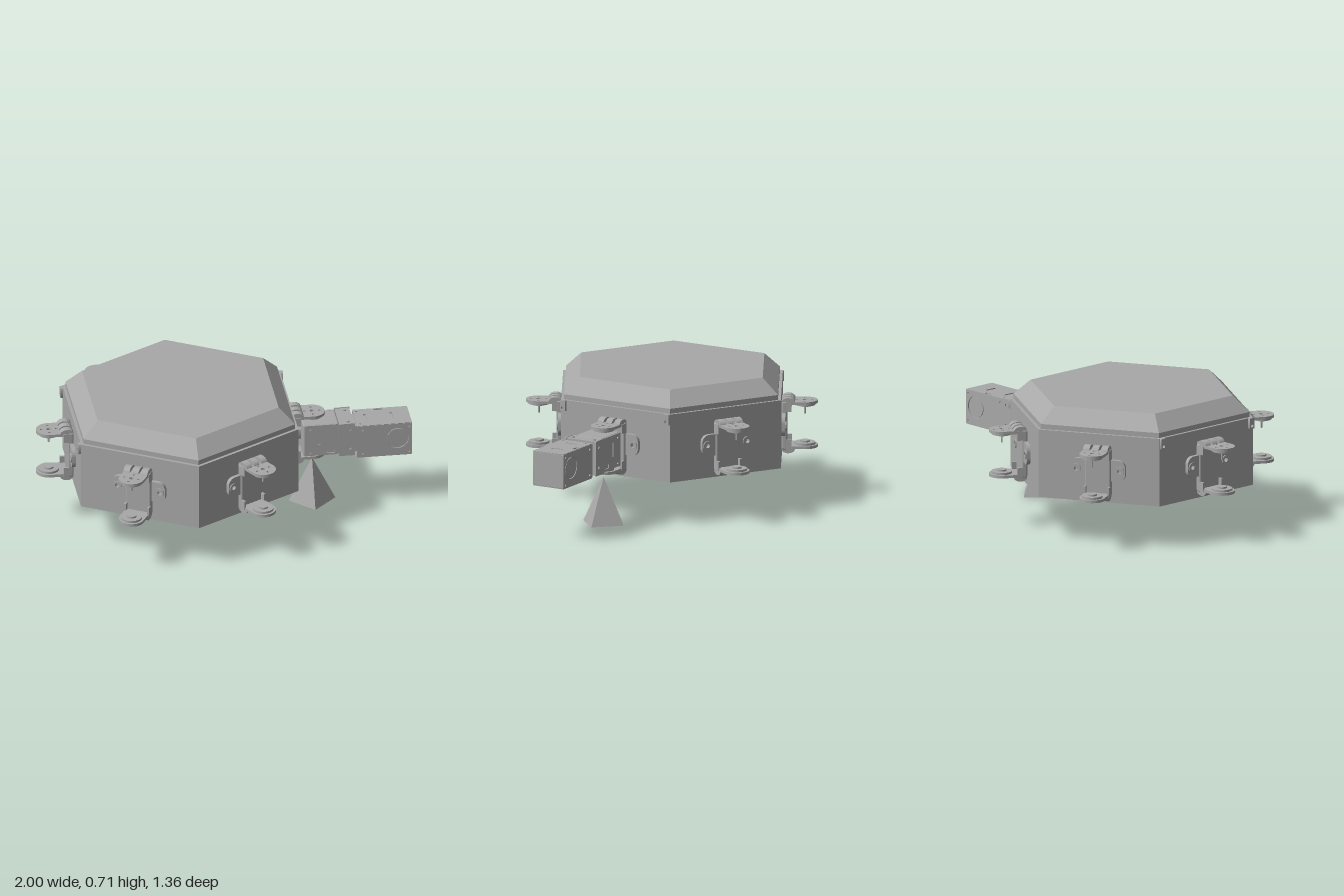
import * as THREE from 'three';
import { RoundedBoxGeometry } from 'three/addons/geometries/RoundedBoxGeometry.js';
import { toCreasedNormals } from 'three/addons/utils/BufferGeometryUtils.js';

const grey = new THREE.MeshStandardMaterial({ color: 0xa8a8a8 });
grey.name = 'grey';

const HUB_X = -0.225, MID_Y = 0.403, APOTHEM = 0.58, SHAFT = 0.705;

function add(parent, name, geo, x = 0, y = 0, z = 0) {
  const mesh = new THREE.Mesh(geo, grey);
  mesh.name = name;
  mesh.position.set(x, y, z);
  parent.add(mesh);
  return mesh;
}
const box = (w, h, d) => new THREE.BoxGeometry(w, h, d);
const cyl = (r, h, n = 28) => new THREE.CylinderGeometry(r, r, h, n);

function circle(x, y, r) {
  return new THREE.Path().absarc(x, y, r, 0, Math.PI * 2, true);
}
function slot(x, y, w, h) {
  return new THREE.Path([[-1, -1], [-1, 1], [1, 1], [1, -1]]
    .map(([i, j]) => new THREE.Vector2(x + i * w / 2, y + j * h / 2)));
}
function extrude(shape, depth) {
  const g = new THREE.ExtrudeGeometry(shape, { depth, bevelEnabled: false, curveSegments: 14 });
  return toCreasedNormals(g, 0.6);
}
function roundRect(w, h, r) {
  const s = new THREE.Shape(), a = w / 2 - r, b = h / 2 - r;
  s.absarc(a, b, r, 0, Math.PI / 2);
  s.absarc(-a, b, r, Math.PI / 2, Math.PI);
  s.absarc(-a, -b, r, Math.PI, Math.PI * 1.5);
  s.absarc(a, -b, r, Math.PI * 1.5, Math.PI * 2);
  return s;
}
// thin cover plate with openings, lying in the xy plane
function panel(w, h, holes, depth = 0.007) {
  const s = roundRect(w, h, 0.006);
  s.holes = holes;
  return extrude(s, depth);
}

// stacked hexagon rings [radius, height], points towards +z and -z
function hexSolid(rings) {
  const pts = [[0, rings[0][1]], ...rings, [0, rings.at(-1)[1]]].map(([r, y]) => new THREE.Vector2(r, y));
  const g = new THREE.LatheGeometry(pts, 6).toNonIndexed();
  g.computeVertexNormals();
  return g;
}

// servo bracket: cross-shaped wall plate, two rounded arms and their horns; +x points outward
function bracket() {
  const g = new THREE.Group();
  g.name = 'servoBracket';
  const bar = roundRect(0.3, 0.115, 0.04);
  bar.holes = [circle(-0.12, 0, 0.012), circle(0.12, 0, 0.012)];
  add(g, 'mountingBar', extrude(bar, 0.022).rotateY(Math.PI / 2), APOTHEM, MID_Y + 0.012, 0);
  add(g, 'wallPlate', new RoundedBoxGeometry(0.032, 0.262, 0.145, 2, 0.01), APOTHEM + 0.016, MID_Y, 0);
  for (const z of [-0.12, 0.12]) {
    const boss = roundRect(0.05, 0.05, 0.024);
    boss.holes = [circle(0, 0, 0.012)];
    add(g, 'screwBoss', extrude(boss, 0.006).rotateY(Math.PI / 2), APOTHEM + 0.022, MID_Y + 0.012, z);
  }
  for (const s of [1, -1]) {
    // tongue with a round end and screw holes
    const arm = new THREE.Shape();
    arm.moveTo(APOTHEM + 0.01, -0.068);
    arm.lineTo(SHAFT, -0.068);
    arm.absarc(SHAFT, 0, 0.068, -Math.PI / 2, Math.PI / 2);
    arm.lineTo(APOTHEM + 0.01, 0.068);
    arm.closePath();
    arm.holes = [[0.04, 0], [-0.04, 0], [0, 0.04], [0, -0.04]].map(([a, b]) => circle(SHAFT + a, b, 0.007));
    arm.holes.push(circle(SHAFT, 0, 0.012));
    add(g, 'arm', extrude(arm, 0.015).rotateX(-Math.PI / 2), 0, MID_Y + s * 0.12 - 0.0075, 0);
    add(g, 'horn', cyl(0.055, 0.012), SHAFT, MID_Y + s * 0.107, 0);
    add(g, 'hornHub', cyl(0.026, 0.01), SHAFT, MID_Y + s * 0.097, 0);
    // ribs over the bend
    const rib = new THREE.Shape();
    rib.moveTo(APOTHEM, 0.09);
    rib.lineTo(APOTHEM, 0.13);
    rib.quadraticCurveTo(APOTHEM + 0.01, 0.15, APOTHEM + 0.035, 0.15);
    rib.quadraticCurveTo(APOTHEM + 0.07, 0.15, APOTHEM + 0.075, 0.12);
    rib.lineTo(APOTHEM + 0.03, 0.12);
    rib.closePath();
    for (const z of [-0.05, 0, 0.05]) {
      const m = add(g, 'rib', extrude(rib, 0.036), 0, MID_Y, z - s * 0.018);
      if (s < 0) m.rotation.x = Math.PI;
    }
    // side cheeks of the bent corner
    for (const z of [-0.066, 0.066])
      add(g, 'cheek', box(0.04, 0.05, 0.012), APOTHEM + 0.035, MID_Y + s * 0.1, z);
  }
  add(g, 'pin', cyl(0.005, 0.05, 10), SHAFT, 0.48, 0);
  return g;
}

// arm of two servo housings with a joining block
function servoArm() {
  const g = new THREE.Group();
  g.name = 'servoArm';
  add(g, 'firstServo', new RoundedBoxGeometry(0.19, 0.185, 0.155, 2, 0.008), 0.515, 0.4, 0.012);
  const cover = panel(0.18, 0.18, [slot(-0.01, 0.012, 0.014, 0.075), slot(0.05, -0.07, 0.045, 0.02),
    circle(-0.06, 0.07, 0.007), circle(-0.06, -0.07, 0.007)]);
  add(g, 'firstServoCover', cover, 0.515, 0.4, 0.089);
  add(g, 'firstServoBackCover', cover, 0.515, 0.4, -0.072);
  add(g, 'joiningBlock', box(0.078, 0.185, 0.178), 0.65, 0.4, 0.015);
  const blockCover = panel(0.085, 0.19, [circle(0.015, 0.06, 0.009), circle(0.015, -0.05, 0.009)]);
  for (const z of [0.104, -0.081]) add(g, 'joiningCover', blockCover, 0.65, 0.4, z);
  for (const z of [-0.05, 0.08]) add(g, 'blockScrew', cyl(0.01, 0.008, 14), 0.66, 0.495, z);
  add(g, 'neck', box(0.03, 0.15, 0.14), 0.7, 0.395, 0.025);

  // end housing, recessed core behind thin covers
  add(g, 'endServo', box(0.285, 0.176, 0.176), 0.85, 0.39, 0.031);
  const side = panel(0.295, 0.186, [circle(0.07, 0.008, 0.06), circle(-0.12, 0.07, 0.007),
    circle(-0.12, -0.07, 0.007), circle(0.13, 0.075, 0.006), circle(0.13, -0.075, 0.006)]);
  for (const z of [0.119, -0.064]) add(g, 'endSideCover', side, 0.85, 0.39, z);
  for (const z of [0.121, -0.059])
    add(g, 'endHorn', cyl(0.055, 0.008).rotateX(Math.PI / 2), 0.92, 0.398, z);
  const topCover = panel(0.295, 0.186, [slot(-0.09, 0, 0.014, 0.07), slot(0.05, 0, 0.014, 0.07),
    slot(-0.01, 0.076, 0.045, 0.018), circle(-0.125, 0.07, 0.006), circle(-0.125, -0.07, 0.006)]);
  topCover.rotateX(-Math.PI / 2);
  for (const y of [0.478, 0.295]) add(g, 'endTopCover', topCover, 0.85, y, 0.031);
  add(g, 'endCap', new RoundedBoxGeometry(0.012, 0.186, 0.186, 2, 0.004), 0.992, 0.39, 0.031);
  return g;
}

export function createModel() {
  const model = new THREE.Group();
  model.name = 'hexagonalRobot';

  // hull and bevelled lid
  add(model, 'hull', hexSolid([[0.672, 0.235], [0.672, 0.605]]), HUB_X);
  add(model, 'lid', hexSolid([[0.654, 0.6], [0.654, 0.632], [0.56, 0.715]]), HUB_X);

  // one bracket on each face
  for (let i = 0; i < 6; i++) {
    const b = bracket();
    b.position.x = HUB_X;
    b.rotation.y = i * Math.PI / 3;
    model.add(b);
  }

  // lid latches at the side corners
  for (const sx of [1, -1]) for (const sz of [1, -1]) {
    const tab = roundRect(0.033, 0.058, 0.003);
    tab.holes = [circle(0, -0.012, 0.009)];
    add(model, 'latch', extrude(tab, 0.016).rotateY(Math.PI / 2), HUB_X + sx * 0.588 - 0.008, 0.576, sz * 0.319);
  }

  model.add(servoArm());

  // pyramid foot with its corners on the axes
  const foot = new THREE.ConeGeometry(0.125, 0.25, 4).toNonIndexed();
  foot.computeVertexNormals();
  add(model, 'pyramidFoot', foot, 0.48, 0.125, 0);
  return model;
}
